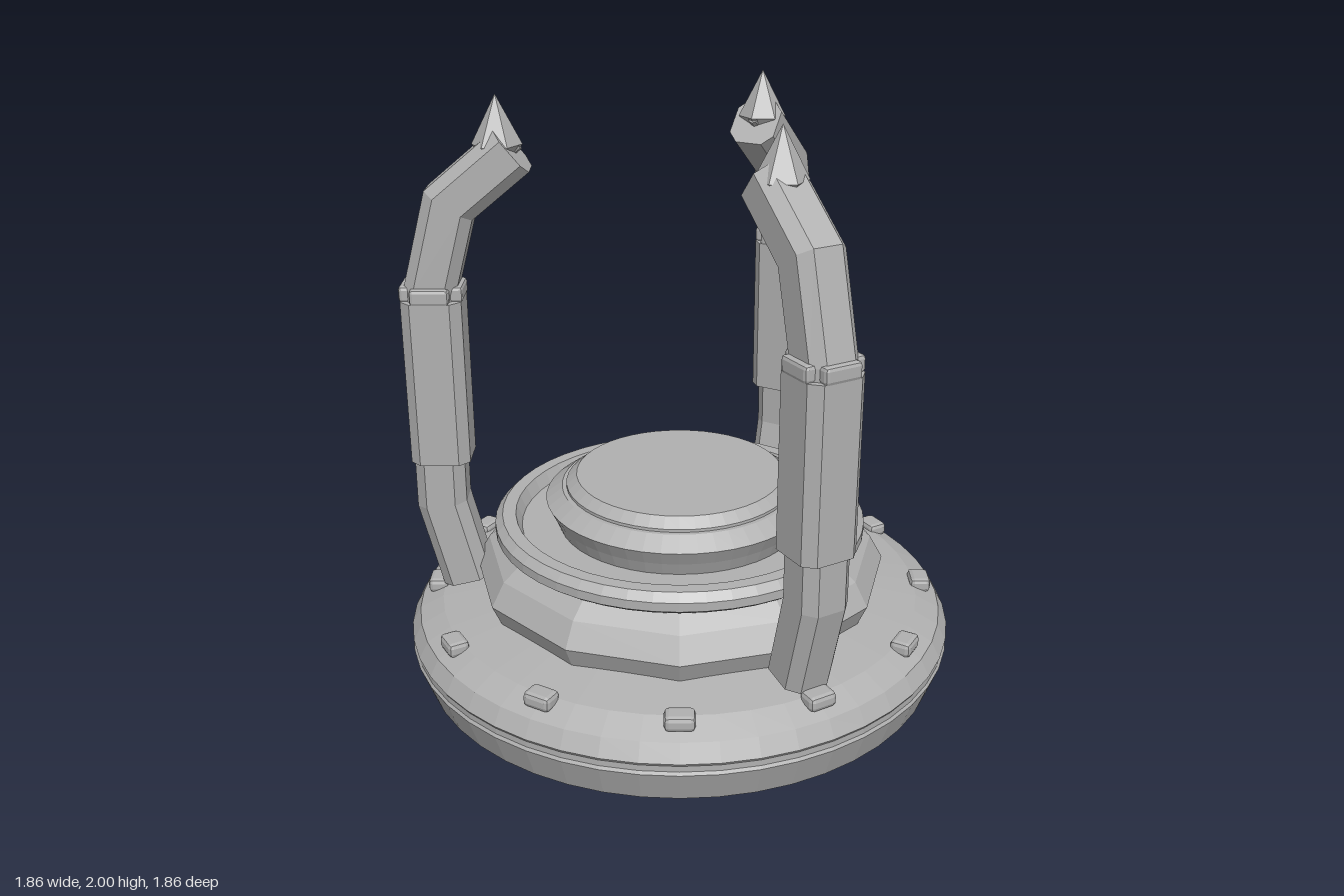
import * as THREE from 'three';
import { RoundedBoxGeometry } from 'three/addons/geometries/RoundedBoxGeometry.js';

const stone = new THREE.MeshStandardMaterial({ color: 0xb0b0b0, flatShading: true });
stone.name = 'grey stone';

function add(parent, name, geometry, x = 0, y = 0, z = 0) {
  const mesh = new THREE.Mesh(geometry, stone);
  mesh.name = name;
  mesh.position.set(x, y, z);
  parent.add(mesh);
  return mesh;
}

function lathe(points, sides) {
  return new THREE.LatheGeometry(points.map(([r, y]) => new THREE.Vector2(r, y)), sides);
}

// Chamfered square bar with mitred bends along a path of [z, y] points
function bentBar(path, half, chamfer) {
  const k = half - chamfer;
  const section = [[half, -k], [half, k], [k, half], [-k, half], [-half, k], [-half, -k], [-k, -half], [k, -half]];
  const n = section.length;
  const pts = path.map(([z, y]) => new THREE.Vector2(z, y));
  const pos = [], index = [];
  pts.forEach((p, i) => {
    const d0 = p.clone().sub(pts[Math.max(i - 1, 0)]).normalize();
    const d1 = pts[Math.min(i + 1, pts.length - 1)].clone().sub(p).normalize();
    const t = d0.clone().add(d1).normalize();
    const mitre = 1 / Math.max(t.dot(i ? d0 : d1), 0.5);
    // outward normal in the bending plane
    for (const [a, b] of section) pos.push(a, p.y - t.x * b * mitre, p.x + t.y * b * mitre);
  });
  for (let i = 0; i < pts.length - 1; i++) {
    for (let j = 0; j < n; j++) {
      const a = i * n + j, b = i * n + (j + 1) % n;
      index.push(a, a + n, b, b, a + n, b + n);
    }
  }
  const last = (pts.length - 1) * n;
  for (let j = 1; j < n - 1; j++) {
    index.push(0, j, j + 1);
    index.push(last, last + j + 1, last + j);
  }
  // section runs from +x to +z, so flip the winding to face outward
  for (let i = 0; i < index.length; i += 3) [index[i + 1], index[i + 2]] = [index[i + 2], index[i + 1]];
  const g = new THREE.BufferGeometry();
  g.setAttribute('position', new THREE.Float32BufferAttribute(pos, 3));
  g.setIndex(fixWinding(pos, index));
  g.computeVertexNormals();
  return g;
}

// Reverse all faces if the closed volume comes out negative
function fixWinding(pos, index) {
  const v = i => new THREE.Vector3(pos[i * 3], pos[i * 3 + 1], pos[i * 3 + 2]);
  let volume = 0;
  for (let i = 0; i < index.length; i += 3) {
    volume += v(index[i]).dot(v(index[i + 1]).cross(v(index[i + 2])));
  }
  return volume < 0 ? index.slice().reverse() : index;
}

function makeArm() {
  const arm = new THREE.Group();
  arm.name = 'arm';
  add(arm, 'armBar', bentBar([[0.735, 0.34], [0.805, 0.63], [0.8, 1.38], [0.725, 1.66], [0.52, 1.83]], 0.083, 0.035));
  add(arm, 'armSleeve', bentBar([[0.797, 0.79], [0.797, 1.35]], 0.098, 0.034));

  // Four clamp blocks round the top of the sleeve
  for (let i = 0; i < 4; i++) {
    const a = i * Math.PI / 2;
    const block = add(arm, 'clampBlock', new RoundedBoxGeometry(0.125, 0.055, 0.05, 1, 0.012),
      Math.sin(a) * 0.078, 1.372, 0.797 + Math.cos(a) * 0.078);
    block.rotation.y = a;
  }

  // Pointed crystal at the tip
  add(arm, 'crystal', lathe([[0, 1.74], [0.08, 1.845], [0, 2]], 6), 0, 0, 0.568);

  // Small pin in the end face
  const pin = add(arm, 'endPin', new THREE.CylinderGeometry(0.018, 0.018, 0.03, 8), 0, 1.835, 0.514);
  pin.rotation.x = -0.88;
  return arm;
}

export function createModel() {
  const model = new THREE.Group();
  model.name = 'pedestal';

  // Broad round base with a shallow groove
  add(model, 'base', lathe([[0, 0], [0.73, 0], [0.89, 0.06], [0.93, 0.17], [0.924, 0.18], [0.924, 0.2],
    [0.93, 0.21], [0.9, 0.265], [0.82, 0.305], [0.64, 0.335], [0, 0.335]], 48));

  // Twelve-sided step
  add(model, 'step', lathe([[0, 0.3], [0.67, 0.32], [0.705, 0.4], [0.66, 0.48], [0.59, 0.535], [0, 0.535]], 12));

  // Rimmed disc and central drum
  add(model, 'rim', lathe([[0, 0.53], [0.61, 0.53], [0.63, 0.545], [0.63, 0.575], [0.605, 0.6],
    [0.56, 0.6], [0.54, 0.555], [0, 0.555]], 48));
  add(model, 'drum', lathe([[0, 0.55], [0.41, 0.55], [0.43, 0.6], [0.455, 0.65], [0.4, 0.69],
    [0.385, 0.69], [0.385, 0.7], [0.35, 0.73], [0, 0.73]], 48));

  // Ring of studs
  for (let i = 0; i < 12; i++) {
    const a = i * Math.PI / 6;
    const stud = add(model, 'stud', new RoundedBoxGeometry(0.095, 0.05, 0.07, 1, 0.015),
      Math.sin(a) * 0.84, 0.305, Math.cos(a) * 0.84);
    stud.rotation.y = a;
  }

  // Three arms
  for (let i = 0; i < 3; i++) {
    const arm = makeArm();
    arm.rotation.y = i * Math.PI * 2 / 3;
    model.add(arm);
  }
  return model;
}
